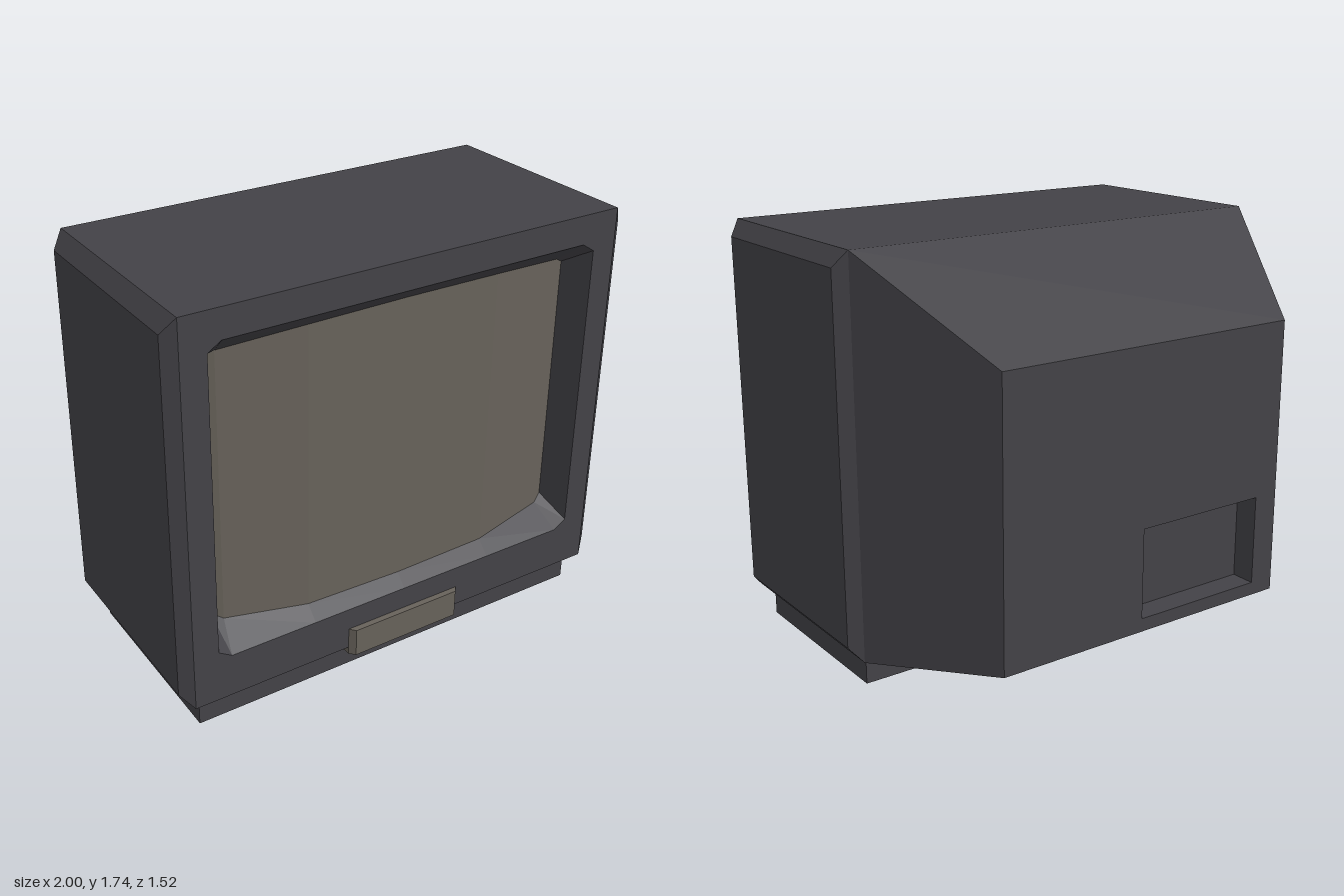
import * as THREE from 'three';

const flip = (face) => face.slice().reverse();
const mirrorX = (face) => flip(face.map(([x, y, z]) => [-x, y, z]));

// Quads joining two matching rings
function loft(a, b) {
  return a.map((p, i) => {
    const j = (i + 1) % a.length;
    return [p, b[i], b[j], a[j]];
  });
}

// Flat-shaded mesh from convex faces
function skin(name, faces, material) {
  const pos = [];
  for (const f of faces)
    for (let i = 1; i < f.length - 1; i++) pos.push(...f[0], ...f[i], ...f[i + 1]);
  const geo = new THREE.BufferGeometry();
  geo.setAttribute('position', new THREE.Float32BufferAttribute(pos, 3));
  geo.computeVertexNormals();
  const mesh = new THREE.Mesh(geo, material);
  mesh.name = name;
  return mesh;
}

const rect = (x0, x1, y0, y1, z) => [[x0, y0, z], [x1, y0, z], [x1, y1, z], [x0, y1, z]];
const sideRect = (x, z0, z1, y0, y1) => [[x, y0, z1], [x, y0, z0], [x, y1, z0], [x, y1, z1]];

// Flat panel facing +z with one hole
function panel(name, outline, hole, material) {
  const to2 = (ring) => ring.map(([x, y]) => new THREE.Vector2(x, y));
  const shape = new THREE.Shape(to2(outline));
  shape.holes.push(new THREE.Path(to2(hole)));
  const mesh = new THREE.Mesh(new THREE.ShapeGeometry(shape), material);
  mesh.name = name;
  return mesh;
}

export function createModel() {
  const casing = new THREE.MeshStandardMaterial({ color: 0x434247 });
  casing.name = 'dark grey casing';
  const glass = new THREE.MeshStandardMaterial({ color: 0x67625a });
  glass.name = 'warm grey glass';
  const model = new THREE.Group();
  model.name = 'television';

  const F = 0.735, M = -0.2, B = -0.76;
  const frontRing = rect(-0.95, 0.95, 0.13, 1.74, F);
  const midRing = rect(-0.95, 0.95, 0.13, 1.74, M);
  const backRing = rect(-0.68, 0.68, 0.22, 1.375, B);

  // Top and bottom of the cabinet, and the tapering rear housing
  model.add(skin('cabinet', loft(frontRing, midRing).filter((_, i) => i % 2 === 0), casing));
  model.add(skin('rearHousing', loft(midRing, backRing), casing));

  // Bevelled side panels
  const sideOuter = sideRect(1, -0.16, 0.695, 0.19, 1.675);
  const sideFaces = [sideOuter, ...loft(sideOuter, sideRect(0.95, M, F, 0.13, 1.74))];
  model.add(skin('leftSide', sideFaces, casing));
  model.add(skin('rightSide', sideFaces.map(mirrorX), casing));

  // Half profiles from the edge to the middle: x, top y, z
  const CY = 0.9675;
  const full = (half) => [...half, ...half.slice(0, -1).reverse().map(([x, y, z]) => [-x, y, z])];
  const lower = (row) => row.map(([x, y, z]) => [x, 2 * CY - y, z]);
  const ring = (row) => [...row, ...lower(row).reverse()];
  const rim = full([[-0.845, 1.585, F], [-0.79, 1.62, F], [-0.42, 1.62, F], [0, 1.62, F]]);
  const tube = full([[-0.805, 1.505, 0.605], [-0.762, 1.53, 0.625], [-0.42, 1.564, 0.68], [0, 1.57, 0.685]]);

  // Front frame, sloping bezel and curved screen
  const frame = panel('frontFrame', frontRing, ring(rim), casing);
  frame.position.z = F;
  model.add(frame);
  model.add(skin('bezel', loft(ring(rim), ring(tube)), casing));
  const low = lower(tube);
  model.add(skin('screen', tube.slice(1).map((p, i) => [low[i], low[i + 1], p, tube[i]]), glass));

  // Back panel with a recessed socket bay
  const bayRing = rect(-0.57, 0.025, 0.275, 0.65, B);
  const bayFloor = rect(-0.57, 0.025, 0.275, 0.65, B + 0.105);
  const turn = (r) => r.map(([x, y]) => [-x, y]);
  const back = panel('backPanel', turn(backRing), turn(bayRing), casing);
  back.rotation.y = Math.PI;
  back.position.z = B;
  model.add(back);
  model.add(skin('socketBay', [flip(bayFloor), ...loft(bayRing, bayFloor)], casing));

  // Plinth
  const plinth = new THREE.Mesh(new THREE.BoxGeometry(1.82, 0.13, 0.815), casing);
  plinth.name = 'plinth';
  plinth.position.set(0, 0.065, 0.2725);
  model.add(plinth);

  // Control flap under the screen
  const flapFront = rect(-0.245, 0.245, 0.1, 0.22, 0.76);
  const flapBack = rect(-0.265, 0.265, 0.095, 0.22, 0.68);
  const flapMid = rect(-0.265, 0.265, 0.098, 0.22, F);
  model.add(skin('controlFlap',
    [flapFront, ...loft(flapFront, flapMid), ...loft(flapMid, flapBack), flip(flapBack)], glass));

  return model;
}
